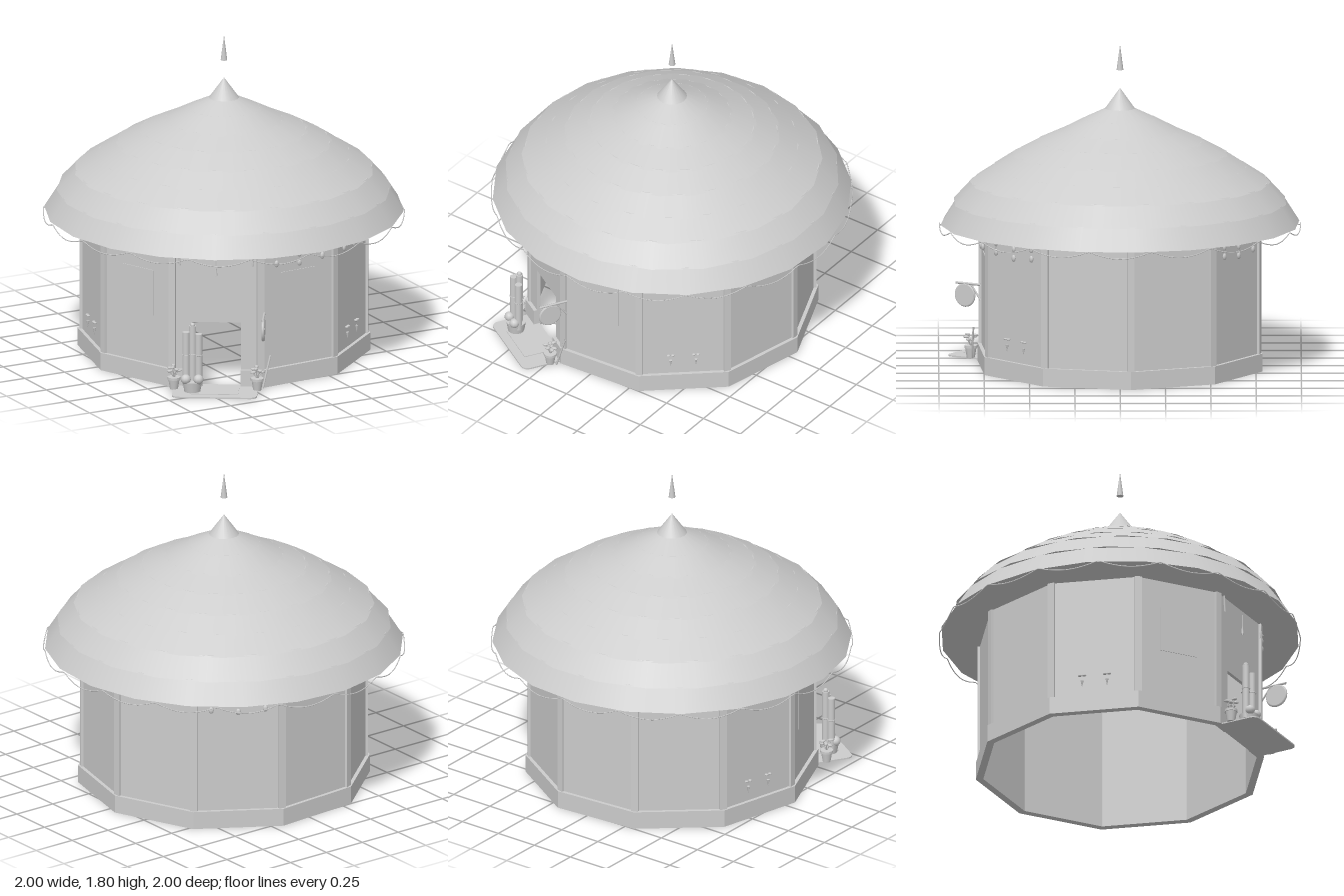
import * as THREE from 'three';

const grey = new THREE.MeshStandardMaterial({ color: 0xcccccc, side: THREE.DoubleSide });
grey.name = 'light grey';

const rad = THREE.MathUtils.degToRad;
const SIDES = 10, STEP = 36, FIRST = 4.3;      // ten wall panels, angle of the first
const DOOR = 9;                                // index of the doorway panel
const WALL = 0.75, PLINTH = 0.77;              // outer apothems
const half = (apothem) => apothem * Math.tan(Math.PI / SIDES);

function add(parent, name, geometry, x = 0, y = 0, z = 0) {
  const mesh = new THREE.Mesh(geometry, grey);
  mesh.name = name;
  mesh.position.set(x, y, z);
  parent.add(mesh);
  return mesh;
}
const box = (p, name, w, h, d, x, y, z) => add(p, name, new THREE.BoxGeometry(w, h, d), x, y, z);
const rod = (p, name, a, b, r) => add(p, name,
  new THREE.TubeGeometry(new THREE.LineCurve3(new THREE.Vector3(...a), new THREE.Vector3(...b)), 1, r, 6));

// Strings of beads under the eaves
function beadStrings(p) {
  for (const x of [-0.15, 0, 0.15]) {
    const z = WALL + 0.02, low = x === 0 ? 0 : 0.015;
    rod(p, 'beadCord', [x, 0.8, z], [x, 0.69 + low, z], 0.002);
    add(p, 'beadFlower', new THREE.ConeGeometry(0.02, 0.02, 6), x, 0.785, z);
    for (const [y, r] of [[0.735, 0.014], [0.685, 0.016]]) {
      add(p, 'bead', new THREE.SphereGeometry(r, 8, 6), x, y + low, z).scale.set(0.9, 1.25, 0.6);
    }
  }
}

// Small wall ornaments
function wallSprigs(p) {
  for (const x of [-0.07, 0.07]) {
    for (const dx of [-0.012, 0.012]) {
      add(p, 'sprigLeaf', new THREE.SphereGeometry(0.012, 6, 4), x + dx, 0.222, WALL + 0.008).scale.y = 0.5;
    }
    add(p, 'sprigBud', new THREE.ConeGeometry(0.009, 0.04, 6), x, 0.17, WALL + 0.008).rotation.x = Math.PI;
  }
}

function pottedPlant(p, x, z) {
  add(p, 'pot', new THREE.CylinderGeometry(0.032, 0.022, 0.06, 12), x, 0.035, z);
  add(p, 'potRim', new THREE.CylinderGeometry(0.036, 0.036, 0.014, 12), x, 0.068, z);
  for (let i = 0; i < 7; i++) {
    const a = i * 0.9;
    const leaf = add(p, 'plantLeaf', new THREE.SphereGeometry(0.02, 6, 4),
      x + 0.024 * Math.cos(a), 0.11 + 0.012 * (i % 3), z + 0.024 * Math.sin(a));
    leaf.scale.set(1, 0.35, 0.6);
    leaf.rotation.y = -a;
    rod(p, 'plantStem', [x, 0.07, z], leaf.position.toArray(), 0.003);
  }
}

function doorway(p) {
  // Wall with opening
  const w = half(WALL), s = new THREE.Shape();
  [[-w, 0], [-0.135, 0], [-0.135, 0.37], [0.135, 0.37], [0.135, 0], [w, 0], [w, 0.81], [-w, 0.81]]
    .forEach(([x, y], i) => (i ? s.lineTo(x, y) : s.moveTo(x, y)));
  add(p, 'doorWall', new THREE.ExtrudeGeometry(s, { depth: 0.02, bevelEnabled: false }), 0, 0, WALL - 0.02);
  const side = half(PLINTH) - 0.135;
  for (const k of [-1, 1]) box(p, 'plinth', side, 0.1, 0.03, k * (0.135 + side / 2), 0.05, PLINTH - 0.015);

  // Rounded mat
  const m = new THREE.Shape(), a = 0.235, b = 0.125, r = 0.04;
  m.absarc(a - r, b - r, r, 0, Math.PI / 2);
  m.absarc(-a + r, b - r, r, Math.PI / 2, Math.PI);
  m.absarc(-a + r, -b + r, r, Math.PI, Math.PI * 1.5);
  m.absarc(a - r, -b + r, r, Math.PI * 1.5, Math.PI * 2);
  const mat = add(p, 'doorMat', new THREE.ExtrudeGeometry(m, { depth: 0.008, bevelEnabled: false }), 0, 0, 0.86);
  mat.rotation.x = -Math.PI / 2;
  box(p, 'matInset', 0.26, 0.004, 0.13, 0, 0.01, 0.87);

  // Potted plants and bundled canes
  for (const k of [-1, 1]) pottedPlant(p, k * 0.23, 0.825);
  [[-0.16, 0.35], [-0.125, 0.38], [-0.09, 0.34]].forEach(([x, top], i) => {
    const z = 0.88 + (i === 1 ? -0.02 : 0);
    add(p, 'cane', new THREE.CylinderGeometry(0.02, 0.02, top - 0.04, 12), x, (top + 0.04) / 2, z);
    add(p, 'caneRing', new THREE.TorusGeometry(0.021, 0.003, 5, 12), x, 0.22, z).rotation.x = Math.PI / 2;
  });
  add(p, 'caneKnob', new THREE.SphereGeometry(0.014, 8, 6), -0.125, 0.385, 0.86);
  add(p, 'canePot', new THREE.CylinderGeometry(0.055, 0.045, 0.06, 14), -0.125, 0.04, 0.88);
  for (const x of [-0.16, -0.09]) add(p, 'caneFlower', new THREE.SphereGeometry(0.028, 10, 8), x, 0.085, 0.905);

  // Round hanging sign on a bracket
  const sx = 0.265, sz = 0.84;
  const disc = add(p, 'roundSign', new THREE.CylinderGeometry(0.058, 0.058, 0.016, 20), sx, 0.36, sz);
  disc.rotation.z = Math.PI / 2;
  add(p, 'signRim', new THREE.TorusGeometry(0.058, 0.009, 6, 20), sx, 0.36, sz).rotation.y = Math.PI / 2;
  rod(p, 'signArm', [sx, 0.425, WALL - 0.01], [sx, 0.425, sz + 0.06], 0.007);
  rod(p, 'signBrace', [sx, 0.34, WALL - 0.01], [sx, 0.42, sz - 0.04], 0.005);

  // Leaning stick and cords over the doorway
  rod(p, 'leaningStick', [0.26, 0.01, 0.8], [0.3, 0.19, 0.765], 0.006);
  rod(p, 'hangingCord', [0, 0.76, 0.77], [0, 0.64, 0.77], 0.003);
  add(p, 'cordTassel', new THREE.ConeGeometry(0.008, 0.07, 6), 0, 0.68, 0.77);
  for (const k of [-1, 1]) {
    rod(p, 'sideTassel', [k * 0.21, 0.79, 0.77], [k * 0.2, 0.7, 0.77], 0.006);
    // Indoor lantern and its cord
    rod(p, 'lanternCord', [k * 0.19, 0.66, 0.715], [k * 0.17, 0.37, 0.7], 0.004);
    box(p, 'lantern', 0.035, 0.06, 0.035, k * 0.17, 0.34, 0.7);
    box(p, 'lanternCap', 0.045, 0.008, 0.045, k * 0.17, 0.374, 0.7);
    box(p, 'cordHook', 0.03, 0.02, 0.02, k * 0.19, 0.66, 0.72);
  }
  box(p, 'indoorBeam', 0.42, 0.03, 0.03, 0, 0.77, WALL - 0.04);
}

export function createModel() {
  const model = new THREE.Group();
  model.name = 'roundHut';

  // Walls, plinth and corner posts
  for (let i = 0; i < SIDES; i++) {
    const p = new THREE.Group();
    p.name = 'wallPanel';
    p.rotation.y = rad(FIRST + i * STEP);
    model.add(p);
    if (i === DOOR) doorway(p);
    else {
      box(p, 'wall', 2 * half(WALL), 0.81, 0.02, 0, 0.405, WALL - 0.01);
      box(p, 'plinth', 2 * half(PLINTH), 0.1, 0.03, 0, 0.05, PLINTH - 0.015);
    }
    if (i === 0 || i === 8) box(p, 'window', 0.22, 0.26, 0.006, 0, 0.51, WALL + 0.001);
    if (i === 0 || i === 1 || i === 4) beadStrings(p);
    if (i === 1 || i === 7) wallSprigs(p);

    const corner = new THREE.Group();
    corner.name = 'cornerPost';
    corner.rotation.y = rad(FIRST + (i + 0.5) * STEP);
    model.add(corner);
    box(corner, 'post', 0.04, 0.81, 0.03, 0, 0.405, 0.782);
  }

  // Overlapping roof tiers: height and radius of each lower edge
  const tiers = [[0.8, 0.993], [0.92, 0.925], [1.03, 0.83], [1.11, 0.71], [1.185, 0.597],
    [1.255, 0.468], [1.315, 0.335], [1.38, 0.21], [1.44, 0.083], [1.555, 0]];
  for (let i = 0; i < tiers.length - 1; i++) {
    const [y0, r0] = tiers[i], [y1, r1] = tiers[i + 1];
    const h = y1 - y0 + (r1 ? 0.006 : 0);
    const tier = add(model, 'roofTier',
      new THREE.CylinderGeometry(Math.max(r1 - 0.012, 0), r0, h, 20), 0, y0 + h / 2, 0);
    tier.rotation.y = 0.08 + (i % 3) * 0.1;
  }

  // Floating finial
  add(model, 'finial', new THREE.ConeGeometry(0.019, 0.145, 8), 0, 1.728, 0);

  // Scalloped cord around the eaves
  const points = [];
  for (let i = 0; i < 144; i++) {
    const a = (i / 144) * Math.PI * 2;
    points.push(new THREE.Vector3(0.996 * Math.sin(a), 0.8 - 0.036 * Math.abs(Math.sin(a * 9)), 0.996 * Math.cos(a)));
  }
  add(model, 'eavesCord', new THREE.TubeGeometry(new THREE.CatmullRomCurve3(points, true), 288, 0.003, 5, true));
  return model;
}
